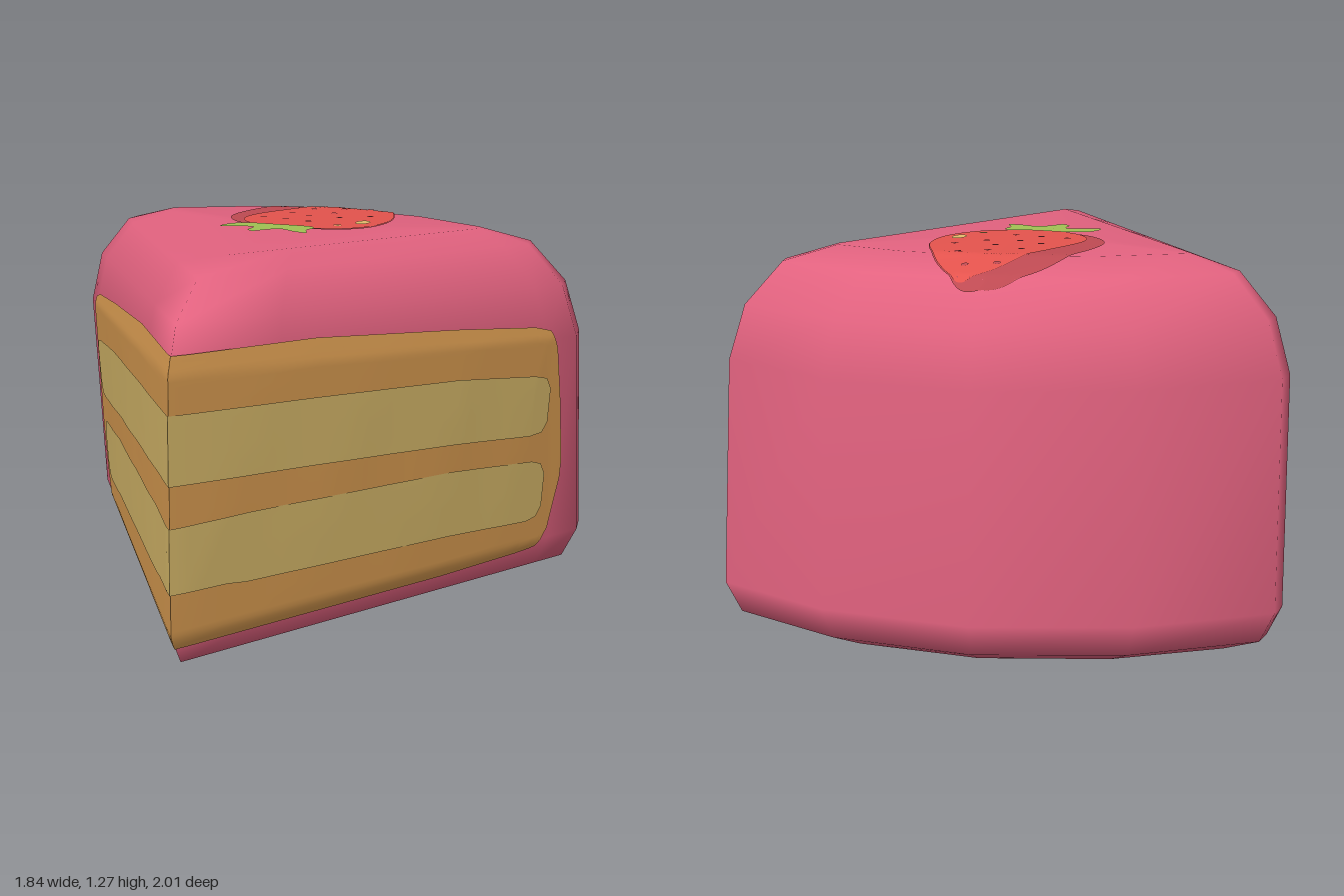
import * as THREE from 'three';

const mat = (name, color, side = THREE.DoubleSide) => {
  const m = new THREE.MeshStandardMaterial({ color, side });
  m.name = name;
  return m;
};

// Rings of the icing, bottom to top: tip z, tip y, corner x, corner z, back y, back z
const RINGS = [
  [0.76, 0.0, 0.75, -0.53, 0.0, -0.86],
  [0.93, 0.04, 0.87, -0.55, 0.04, -0.96],
  [1.0, 0.14, 0.92, -0.56, 0.14, -1.0],
  [1.0, 0.98, 0.92, -0.46, 0.87, -0.96],
  [0.94, 1.13, 0.87, -0.44, 1.05, -0.91],
  [0.76, 1.24, 0.75, -0.42, 1.19, -0.78],
  [0.52, 1.27, 0.58, -0.38, 1.24, -0.6],
];

// Half outline from tip to back centre, mirrored to close the ring
function ringPoints([tz, ty, cx, cz, by, bz]) {
  const half = [0, 0.25, 0.5, 0.75, 0.92, 1].map((t) => [
    cx * t, THREE.MathUtils.lerp(ty, by, t), THREE.MathUtils.lerp(tz, cz, t),
  ]);
  for (const [sx, f] of [[0.985, 0.2], [0.543, 0.77], [0, 1]]) {
    half.push([cx * sx, by, THREE.MathUtils.lerp(cz, bz, f)]);
  }
  const other = half.slice(1, -1).reverse().map(([x, y, z]) => [-x, y, z]);
  return [...half, ...other];
}

function icingGeometry() {
  const rings = RINGS.map(ringPoints);
  const n = rings[0].length;
  const pos = rings.flat(2);
  const index = [];
  const last = (rings.length - 1) * n;
  const bottom = rings.length * n;
  const top = bottom + 1;
  pos.push(0, 0, -0.2, 0, 1.255, -0.1);
  for (let i = 0; i < n; i++) {
    const j = (i + 1) % n;
    for (let r = 0; r < rings.length - 1; r++) {
      const a = r * n, b = a + n;
      index.push(a + i, a + j, b + j, a + i, b + j, b + i);
    }
    index.push(bottom, j, i, top, last + i, last + j);
  }
  const g = new THREE.BufferGeometry();
  g.setAttribute('position', new THREE.Float32BufferAttribute(pos, 3));
  g.setIndex(index);
  g.computeVertexNormals();
  return g;
}

// Surface sheet from a grid of points
function sheet(grid) {
  const cols = grid[0].length;
  const index = [];
  for (let r = 0; r < grid.length - 1; r++) {
    for (let c = 0; c < cols - 1; c++) {
      const a = r * cols + c, b = a + cols;
      index.push(a, a + 1, b + 1, a, b + 1, b);
    }
  }
  const g = new THREE.BufferGeometry().setFromPoints(grid.flat());
  g.setIndex(index);
  g.computeVertexNormals();
  return g;
}

export function createModel() {
  const group = new THREE.Group();
  const pink = mat('pink icing', 0xe2627f, THREE.FrontSide);
  const sponge = mat('golden sponge', 0xd79a50);
  const cream = mat('pale cream', 0xd5b769);
  const red = mat('strawberry red', 0xe4534d);
  const darkRed = mat('dark red', 0xbe4a52);
  const green = mat('leaf green', 0xa0c153);
  const shine = mat('yellow shine', 0xe2bc6c);

  const add = (name, geometry, material) => {
    const m = new THREE.Mesh(geometry, material);
    m.name = name;
    group.add(m);
    return m;
  };
  const body = add('icing', icingGeometry(), pink);

  // Nearest point of the icing along a ray, lifted off the surface
  const ray = new THREE.Raycaster();
  const cast = (origin, dir, lift) => {
    ray.set(origin, dir);
    const hit = ray.intersectObject(body)[0];
    return hit ? hit.point.clone().addScaledVector(hit.face.normal, lift) : null;
  };

  // Layer on a cut side; columns are [z, low y, high y]
  function sideLayer(name, columns, side, lift, rows, material) {
    const dense = [];
    for (let k = 0; k < columns.length - 1; k++) {
      for (let s = 0; s < 6; s++) {
        dense.push(columns[k].map((v, q) => THREE.MathUtils.lerp(v, columns[k + 1][q], s / 6)));
      }
    }
    dense.push(columns.at(-1));
    const dir = new THREE.Vector3(-side, 0, 0);
    const grid = [];
    for (let r = 0; r <= rows; r++) {
      grid.push(dense.map(([z, lo, hi]) => {
        const y = THREE.MathUtils.lerp(lo, hi, r / rows);
        let p = null;
        for (let zz = Math.min(z, 0.998); !p && zz > -1; zz -= 0.004) {
          p = cast(new THREE.Vector3(2 * side, y, zz), dir, lift);
        }
        // Both sides meet on the tip edge
        if (z > 0.999) { p.x = 0; p.z += lift; }
        return p;
      }));
    }
    add(name, sheet(grid), material);
  }

  // Painted patch on top, filled outward from a centre
  const down = new THREE.Vector3(0, -1, 0);
  function topPatch(name, [cx, cz], outline, lift, rings, material) {
    const grid = [];
    for (let r = 0; r <= rings; r++) {
      const f = Math.max(r / rings, 0.001);
      grid.push(outline.map(([x, z]) =>
        cast(new THREE.Vector3(cx + (x - cx) * f, 3, cz + (z - cz) * f), down, lift)));
    }
    add(name, sheet(grid), material);
  }
  const smooth = (pts, count, tension = 0.5) =>
    new THREE.CatmullRomCurve3(pts.map(([x, z]) => new THREE.Vector3(x, 0, z)), true, 'catmullrom', tension)
      .getPoints(count).map((p) => [p.x, p.z]);
  const ellipse = (cx, cz, rx, rz, count = 16) =>
    Array.from({ length: count + 1 }, (_, i) => {
      const a = (i / count) * Math.PI * 2;
      return [cx + rx * Math.cos(a), cz + rz * Math.sin(a)];
    });

  // Sponge and two cream bands on both cut sides
  const spongeCols = [[1, 0.1, 1.04], [0.5, 0.1, 1.02], [0, 0.1, 0.965], [-0.3, 0.11, 0.925],
    [-0.36, 0.115, 0.905], [-0.385, 0.12, 0.84], [-0.42, 0.18, 0.64], [-0.45, 0.36, 0.42]];
  const upperCols = [[1, 0.635, 0.86], [0.5, 0.605, 0.83], [0, 0.57, 0.795], [-0.3, 0.54, 0.755],
    [-0.35, 0.545, 0.74], [-0.37, 0.58, 0.7]];
  const lowerCols = [[1, 0.285, 0.5], [0.82, 0.28, 0.5], [0.75, 0.27, 0.5], [0, 0.245, 0.475],
    [-0.32, 0.225, 0.445], [-0.36, 0.235, 0.43], [-0.38, 0.27, 0.39]];
  for (const [label, side] of [['left', 1], ['right', -1]]) {
    sideLayer(`${label}Sponge`, spongeCols, side, 0.005, 60, sponge);
    sideLayer(`${label}UpperCream`, upperCols, side, 0.009, 8, cream);
    sideLayer(`${label}LowerCream`, lowerCols, side, 0.009, 8, cream);
  }

  // Strawberry with a darker rim, seeds, shine and leaves
  topPatch('strawberryRim', [0, -0.4], smooth([[0.02, -0.81], [0.1, -0.77], [0.2, -0.61], [0.27, -0.38],
    [0.24, -0.19], [0.12, -0.09], [-0.1, -0.1], [-0.22, -0.15], [-0.29, -0.28], [-0.27, -0.46],
    [-0.18, -0.67], [-0.08, -0.78]], 96), 0.004, 20, darkRed);
  topPatch('strawberry', [0.03, -0.38], smooth([[0.06, -0.78], [0.12, -0.74], [0.2, -0.6], [0.265, -0.4],
    [0.25, -0.22], [0.15, -0.1], [0, -0.08], [-0.13, -0.1], [-0.21, -0.19], [-0.22, -0.31],
    [-0.15, -0.48], [-0.06, -0.65], [-0.01, -0.73]], 96), 0.0065, 20, red);
  const seeds = [[-0.02, -0.67], [0.08, -0.68], [0.04, -0.54], [0.13, -0.57], [-0.06, -0.5], [0.04, -0.43],
    [0.18, -0.41], [-0.1, -0.38], [-0.02, -0.33], [0.09, -0.34], [-0.16, -0.25], [-0.07, -0.23], [0.02, -0.21]];
  seeds.forEach(([x, z], i) =>
    topPatch(`seed${i + 1}`, [x, z], ellipse(x, z, 0.012, 0.012, 8), 0.009, 2, darkRed));
  topPatch('largeShine', [0.2, -0.265], ellipse(0.2, -0.265, 0.024, 0.042), 0.009, 3, shine);
  topPatch('smallShine', [0.14, -0.17], ellipse(0.14, -0.17, 0.014, 0.016), 0.009, 3, shine);
  topPatch('leaves', [-0.03, -0.06], smooth([[-0.23, -0.03], [-0.2, -0.09], [-0.13, -0.11], [-0.03, -0.1],
    [0.07, -0.1], [0.09, -0.06], [0.08, -0.02], [0.1, 0.04], [0.05, 0.03], [0, 0], [-0.04, 0.02],
    [-0.08, 0.07], [-0.11, 0.04], [-0.11, -0.02], [-0.17, -0.02], [-0.22, 0]], 64, 0.4), 0.009, 8, green);

  return group;
}
